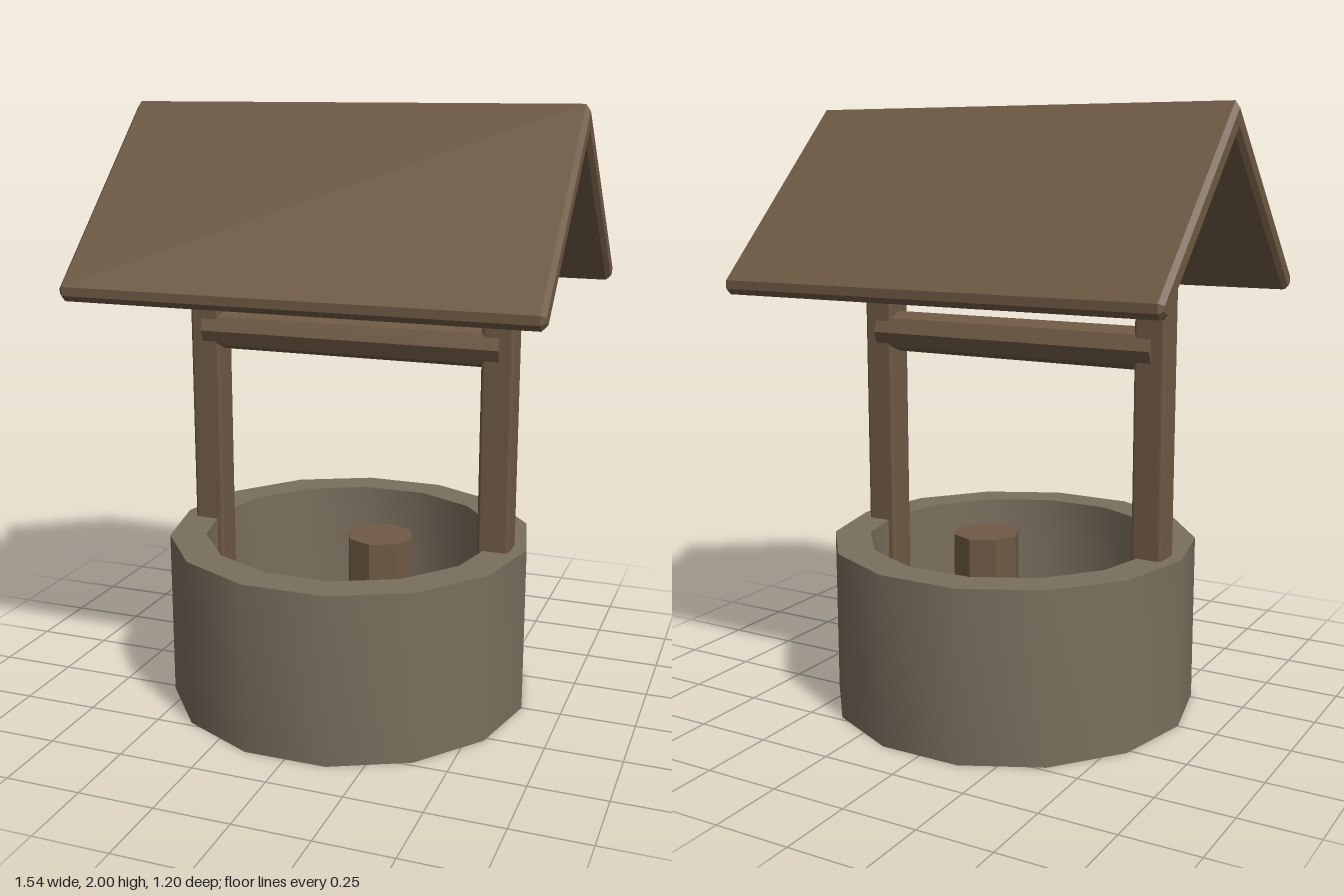
import * as THREE from 'three';
import { toCreasedNormals } from 'three/addons/utils/BufferGeometryUtils.js';
import { RoundedBoxGeometry } from 'three/addons/geometries/RoundedBoxGeometry.js';

export function createModel() {
  const group = new THREE.Group();
  group.name = 'well';

  const material = (name, color, flatShading = false) => {
    const m = new THREE.MeshStandardMaterial({ color, flatShading });
    m.name = name;
    return m;
  };
  const stone = material('stone', 0x7a6f5e);
  const wood = material('wood', 0x6f5a44);

  const add = (name, geometry, mat, x = 0, y = 0, z = 0) => {
    const mesh = new THREE.Mesh(geometry, mat);
    mesh.name = name;
    mesh.position.set(x, y, z);
    group.add(mesh);
    return mesh;
  };
  const points = (list) => list.map(([x, y]) => new THREE.Vector2(x, y));

  // Fourteen-sided stone basin: closed base, outer wall, rim, inner wall, floor
  const basin = new THREE.LatheGeometry(
    points([[0, 0], [0.617, 0], [0.617, 0.565], [0.495, 0.565], [0.495, 0.05], [0, 0.05]]), 14);
  basin.rotateY(Math.PI / 2);
  add('stoneBasin', toCreasedNormals(basin, 0.6), stone);

  // Upright posts standing in the wall
  for (const [name, side] of [['leftPost', 1], ['rightPost', -1]]) {
    add(name, new RoundedBoxGeometry(0.108, 1.543, 0.108, 1, 0.014), wood, side * 0.513, 0.7735, 0);
  }

  // Octagonal prism with hard edges
  const octagon = (radius, length) =>
    toCreasedNormals(new THREE.CylinderGeometry(radius, radius, length, 8), 0.3);

  // Crossbar between the posts
  add('crossbar', octagon(0.07, 1.04).rotateZ(Math.PI / 2), wood, 0, 1.24, 0);

  // Bucket inside the basin
  add('bucket', octagon(0.115, 0.51), wood, 0.108, 0.305, 0);

  // Gabled roof: chevron section with chamfered eaves, extruded along x
  const eave = [[0.554, 1.446], [0.554, 1.418], [0.535, 1.399], [0.507, 1.399]];
  const mirrored = eave.map(([z, y]) => [-z, y]).reverse();
  const section = new THREE.Shape(points([[0, 2], ...eave, [0, 1.906], ...mirrored]));
  const bevel = 0.015;
  const width = 1.536;
  const roof = new THREE.ExtrudeGeometry(section, {
    depth: width - 2 * bevel, bevelEnabled: true, bevelSegments: 1,
    bevelSize: bevel, bevelThickness: bevel, bevelOffset: -bevel,
  });
  roof.translate(0, 0, bevel - width / 2);
  roof.rotateY(Math.PI / 2);
  add('roof', roof, wood);

  return group;
}
